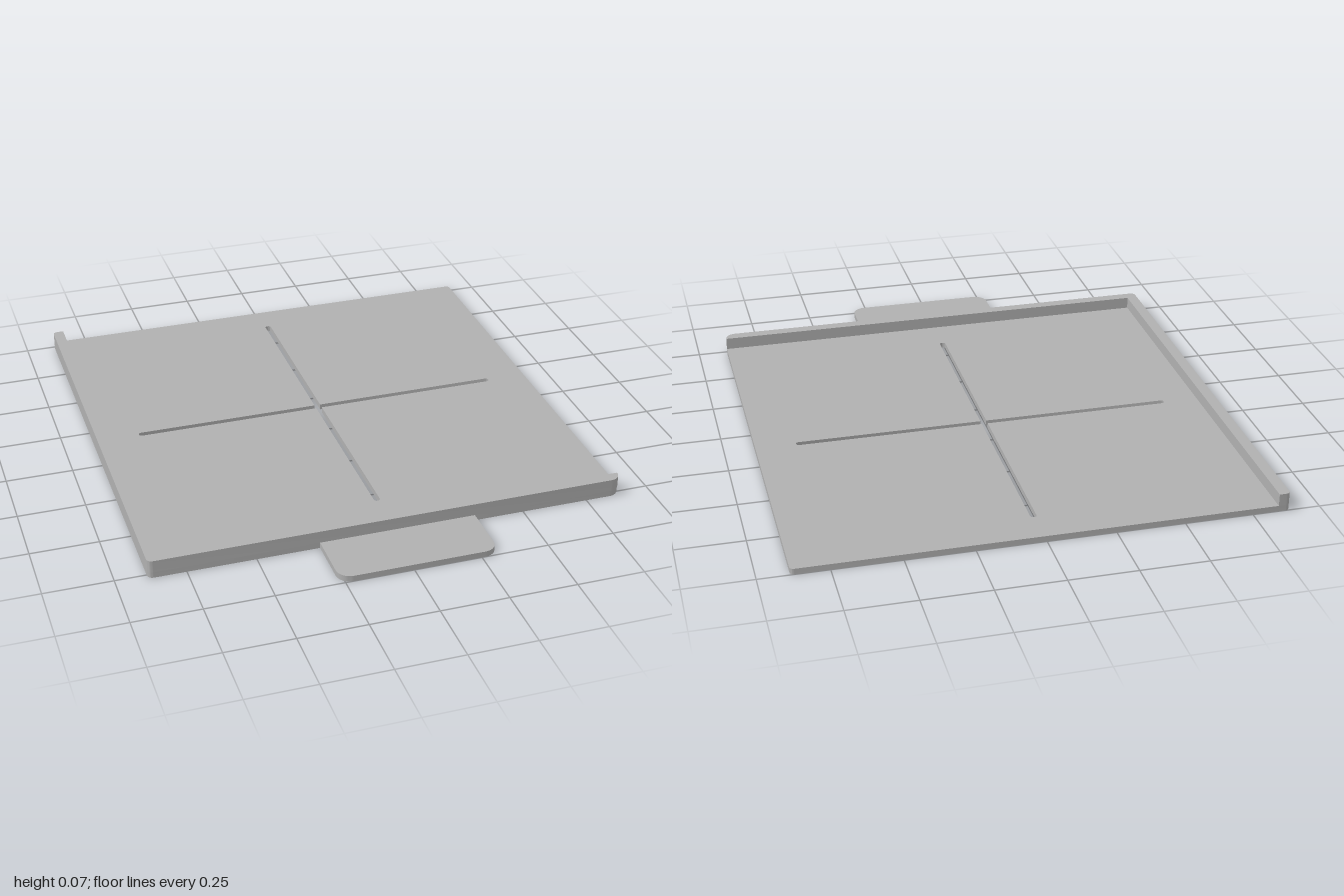
import * as THREE from 'three';
import { toCreasedNormals } from 'three/addons/utils/BufferGeometryUtils.js';

const K = 0.5523; // bezier factor for a quarter circle

// Traces a closed outline through [x, z, cornerRadius] points
function trace(path, points) {
  const n = points.length;
  points.forEach(([x, z, r = 0], i) => {
    const p = new THREE.Vector2(x, -z);
    const toward = ([qx, qz], d) =>
      new THREE.Vector2(qx, -qz).sub(p).setLength(d).add(p);
    const prev = points[(i + n - 1) % n], next = points[(i + 1) % n];
    const a = toward(prev, r);
    if (i === 0) path.moveTo(a.x, a.y); else path.lineTo(a.x, a.y);
    if (r > 0) {
      const b = toward(next, r);
      const c1 = toward(prev, r * (1 - K)), c2 = toward(next, r * (1 - K));
      path.bezierCurveTo(c1.x, c1.y, c2.x, c2.y, b.x, b.y);
    }
  });
  path.closePath();
  return path;
}

// Extrudes a floor-plan shape upward from y0 to y1
function slab(name, shape, y0, y1, material) {
  const geometry = new THREE.ExtrudeGeometry(shape, {
    depth: y1 - y0, bevelEnabled: false, curveSegments: 8,
  });
  geometry.rotateX(-Math.PI / 2).translate(0, y0, 0);
  const mesh = new THREE.Mesh(toCreasedNormals(geometry, 0.6), material);
  mesh.name = name;
  return mesh;
}

export function createModel() {
  const grey = new THREE.MeshStandardMaterial({ color: 0xb0b0b0 });
  grey.name = 'grey plastic';

  const L = -0.887, R = 0.887, back = -1, front = 0.773;
  const thickness = 0.022, rimTop = 0.068, rimWidth = 0.042;
  const tabL = -0.27, tabR = 0.312;

  // Base plate and front tab share one outline
  const plate = trace(new THREE.Shape(), [
    [L, back, 0.015], [L, front, 0.02],
    [tabL, front], [tabL, 1, 0.05], [tabR, 1, 0.05], [tabR, front],
    [R, front, 0.045], [R, back, 0.015],
  ]);

  // Cross-shaped slot with rounded ends
  const cx = 0.011, cz = -0.146, h = 0.0115, reach = 0.723, r = 0.0105;
  plate.holes.push(trace(new THREE.Path(), [
    [cx - h, cz - reach, r], [cx + h, cz - reach, r], [cx + h, cz - h],
    [cx + reach, cz - h, r], [cx + reach, cz + h, r], [cx + h, cz + h],
    [cx + h, cz + reach, r], [cx - h, cz + reach, r], [cx - h, cz + h],
    [cx - reach, cz + h, r], [cx - reach, cz - h, r], [cx - h, cz - h],
  ]));

  // Raised L-shaped rim along the right-hand and front edges
  const rim = trace(new THREE.Shape(), [
    [L, back, 0.015], [L, front, 0.02], [R, front, 0.041],
    [R, front - rimWidth], [L + rimWidth, front - rimWidth],
    [L + rimWidth, back],
  ]);

  const model = new THREE.Group();
  model.name = 'slottedTray';
  model.add(
    slab('basePlate', plate, 0, thickness, grey),
    slab('rim', rim, thickness, rimTop, grey),
  );
  return model;
}
